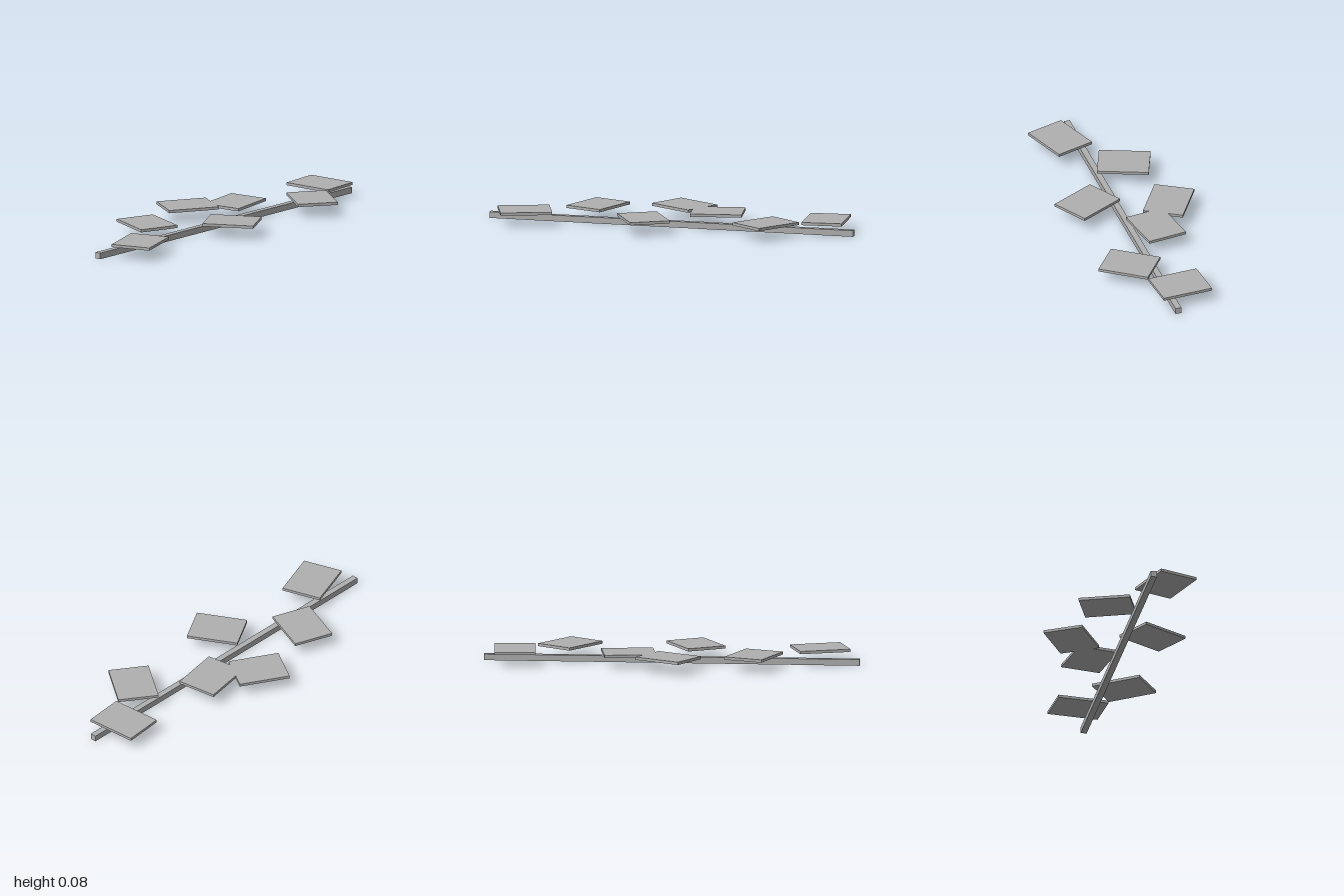
import * as THREE from 'three';

export function createModel() {
  const group = new THREE.Group();
  const grey = new THREE.MeshStandardMaterial({ color: 0xb0b0b0 });
  grey.name = 'plain grey';

  // Long square beam on the ground
  const beam = new THREE.Mesh(new THREE.BoxGeometry(2, 0.033, 0.033), grey);
  beam.name = 'beam';
  beam.position.set(0, 0.0165, 0.037);
  group.add(beam);

  // Flat rectangular plates scattered above the beam: x, z, turn in degrees
  const plateGeometry = new THREE.BoxGeometry(0.275, 0.015, 0.217);
  const plates = [
    [-0.78, 0.143, 19.5],
    [-0.447, -0.108, 70],
    [-0.002, -0.219, -30],
    [0.22, -0.08, 9.7],
    [-0.113, 0.198, -60],
    [0.553, 0.171, 55],
    [0.831, -0.025, -85],
  ];
  plates.forEach(([x, z, turn], i) => {
    const plate = new THREE.Mesh(plateGeometry, grey);
    plate.name = `plate${i + 1}`;
    plate.position.set(x, 0.0695, z);
    plate.rotation.y = THREE.MathUtils.degToRad(turn);
    group.add(plate);
  });

  return group;
}
